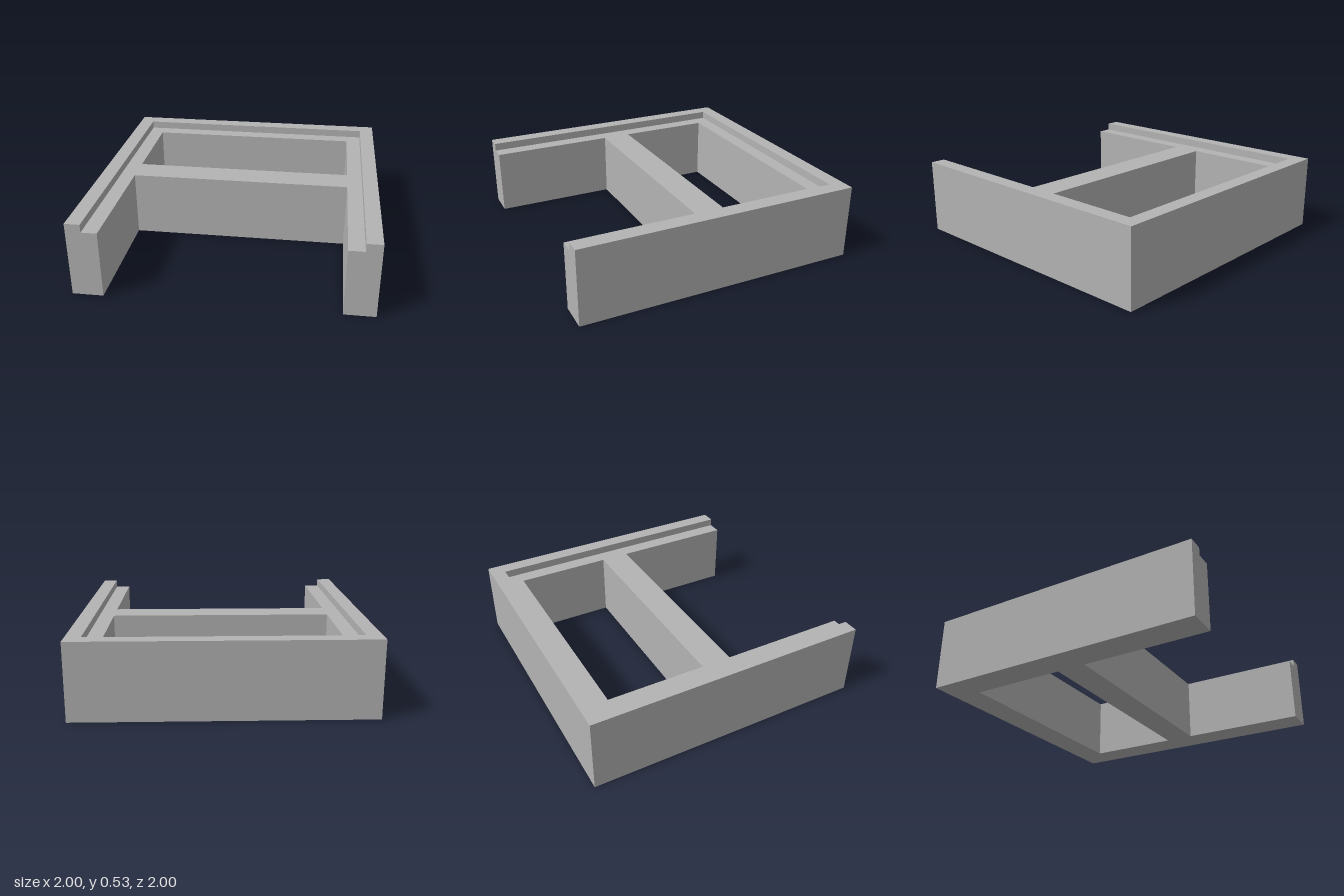
import * as THREE from 'three';

const BASE_HEIGHT = 0.472;
const TOTAL_HEIGHT = 0.528;

// Plan outline from [x, z] points
function planPath(points, PathType = THREE.Shape) {
  const path = new PathType();
  points.forEach(([x, z], i) => (i ? path.lineTo(x, -z) : path.moveTo(x, -z)));
  path.closePath();
  return path;
}

// Raises a plan outline from y0 to y1
function raisePlan(name, shape, y0, y1, material) {
  const geometry = new THREE.ExtrudeGeometry(shape, { depth: y1 - y0, bevelEnabled: false });
  geometry.rotateX(-Math.PI / 2);
  geometry.translate(0, y0, 0);
  const mesh = new THREE.Mesh(geometry, material);
  mesh.name = name;
  return mesh;
}

export function createModel() {
  const group = new THREE.Group();
  group.name = 'frame';
  const grey = new THREE.MeshStandardMaterial({ color: 0xb3b3b3 });
  grey.name = 'grey';

  const inner = 0.788; // inside of the thick walls
  const ledge = 0.895; // inside of the thin rim
  const bar = 0.105; // half depth of the cross bar

  // Thick walls and cross bar, open at the front
  const base = planPath([
    [-1, 1], [-inner, 1], [-inner, bar], [inner, bar],
    [inner, 1], [1, 1], [1, -1], [-1, -1],
  ]);
  base.holes.push(planPath([
    [-inner, -bar], [inner, -bar], [inner, -0.79], [-inner, -0.79],
  ], THREE.Path));
  group.add(raisePlan('wallsAndCrossBar', base, 0, BASE_HEIGHT, grey));

  // Thin raised rim around three sides, leaving a ledge inside
  const rim = planPath([
    [-1, 1], [-ledge, 1], [-ledge, -ledge], [ledge, -ledge],
    [ledge, 1], [1, 1], [1, -1], [-1, -1],
  ]);
  group.add(raisePlan('raisedRim', rim, BASE_HEIGHT, TOTAL_HEIGHT, grey));

  return group;
}
